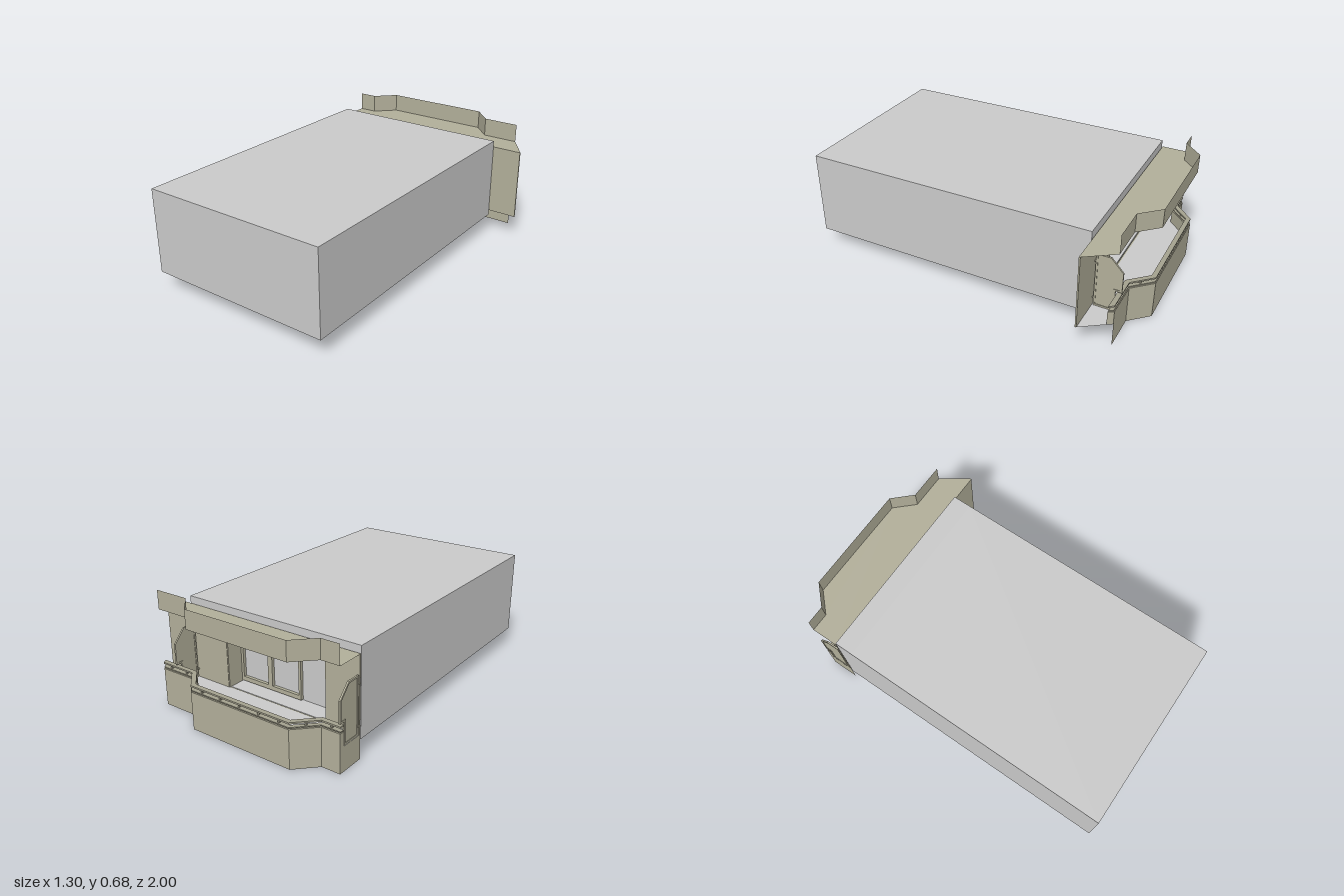
import * as THREE from 'three';

const mat = (name, color) => {
  const m = new THREE.MeshStandardMaterial({ color, side: THREE.DoubleSide });
  m.name = name;
  return m;
};

// plan outline of the balcony edge, as [x, z]
const OUTER = [[-0.65, -0.89], [-0.54, -0.89], [-0.43, -1], [0.22, -1], [0.325, -0.89], [0.54, -0.89]];
const INNER = [[-0.65, -0.86], [-0.528, -0.86], [-0.418, -0.97], [0.208, -0.97], [0.313, -0.86], [0.56, -0.86]];

const toShape = (pts) => new THREE.Shape(pts.map(([x, y]) => new THREE.Vector2(x, y)));
const rect = (x0, y0, x1, y1) => [[x0, y0], [x1, y0], [x1, y1], [x0, y1]];
const between = (t) => OUTER.map(([x, z], i) => [x + (INNER[i][0] - x) * t, z + (INNER[i][1] - z) * t]);

// vertical sheet that follows a plan path
function ribbon(path, y0, y1) {
  const pos = [];
  for (let i = 0; i < path.length - 1; i++) {
    const [ax, az] = path[i], [bx, bz] = path[i + 1];
    pos.push(ax, y0, az, ax, y1, az, bx, y1, bz, ax, y0, az, bx, y1, bz, bx, y0, bz);
  }
  const g = new THREE.BufferGeometry();
  g.setAttribute('position', new THREE.Float32BufferAttribute(pos, 3));
  g.computeVertexNormals();
  return g;
}

// plan polygon: flat sheet, or solid between two heights
function sheet(pts, y) {
  return new THREE.ShapeGeometry(toShape(pts)).rotateX(Math.PI / 2).translate(0, y, 0);
}
function solid(pts, y0, y1) {
  return new THREE.ExtrudeGeometry(toShape(pts), { depth: y1 - y0, bevelEnabled: false })
    .rotateX(Math.PI / 2).translate(0, y1, 0);
}

// upright panel with an optional hole, from z0 to z1
function panel(pts, hole, z0, z1) {
  const s = toShape(pts);
  if (hole) s.holes.push(new THREE.Path(hole.map(([x, y]) => new THREE.Vector2(x, y))));
  return new THREE.ExtrudeGeometry(s, { depth: z1 - z0, bevelEnabled: false }).translate(0, 0, z0);
}

function box(x0, x1, y0, y1, z0, z1) {
  return new THREE.BoxGeometry(x1 - x0, y1 - y0, z1 - z0)
    .translate((x0 + x1) / 2, (y0 + y1) / 2, (z0 + z1) / 2);
}

export function createModel() {
  const root = new THREE.Group();
  root.name = 'apartmentWithBalcony';
  const grey = mat('plainGrey', 0xcacaca);
  const beige = mat('beigeRender', 0xb2af9a);
  const railMat = mat('railBeige', 0xa5a28f);
  const add = (name, geo, material, parent = root) => {
    const m = new THREE.Mesh(geo, material);
    m.name = name;
    parent.add(m);
    return m;
  };

  // room volume with a recess for the window
  const opening = rect(-0.45, 0.14, 0.21, 0.53);
  add('roomBlock', box(-0.65, 0.475, 0.11, 0.61, -0.61, 1), grey);
  add('roomEnd', panel(rect(-0.65, 0.11, 0.475, 0.61), opening, -0.72, -0.61), grey);

  // facade and recess lining
  add('facadeWall', panel(rect(-0.65, 0.14, 0.65, 0.57), opening, -0.733, -0.725), beige);
  add('recessLeft', box(0.205, 0.21, 0.14, 0.53, -0.73, -0.61), beige);
  add('recessRight', box(-0.45, -0.445, 0.14, 0.53, -0.73, -0.61), beige);
  add('recessTop', box(-0.45, 0.21, 0.525, 0.53, -0.73, -0.61), beige);

  // sliding window frame
  const windowFrame = new THREE.Group();
  windowFrame.name = 'windowFrame';
  root.add(windowFrame);
  for (const [x0, x1] of [[-0.21, 0], [0, 0.205]]) {
    add('sash', panel(rect(x0, 0.145, x1, 0.525), rect(x0 + 0.015, 0.17, x1 - 0.015, 0.505), -0.63, -0.612), beige, windowFrame);
  }

  // floor and ceiling sheets
  const plan = [[-0.65, -0.73], ...OUTER, [0.65, -0.73]];
  add('balconyFloor', sheet(plan, 0.14), grey);
  add('balconyCeiling', sheet(plan, 0.57), beige);

  // parapet, side apron and upper fascia
  const ring = (a, b) => [...between(a), ...between(b).reverse()];
  add('apron', ribbon([[-0.65, -0.725], ...OUTER], 0, 0.14), beige);
  add('parapet', solid(ring(0, 1), 0.14, 0.22), beige);
  add('upperFascia', ribbon(OUTER, 0.57, 0.68), beige);

  // handrail on short posts
  const railing = new THREE.Group();
  railing.name = 'railing';
  root.add(railing);
  add('lowerRail', solid(ring(0.1, 0.9), 0.224, 0.23), railMat, railing);
  add('handrail', solid(ring(0.05, 0.95), 0.248, 0.257), railMat, railing);
  const mid = between(0.5);
  for (let i = 0; i < mid.length - 1; i++) {
    const [ax, az] = mid[i], [bx, bz] = mid[i + 1];
    const n = Math.max(1, Math.round(Math.hypot(bx - ax, bz - az) / 0.13));
    for (let k = 0; k < n; k++) {
      const t = (k + 0.5) / n, x = ax + (bx - ax) * t, z = az + (bz - az) * t;
      add('railPost', box(x - 0.005, x + 0.005, 0.22, 0.25, z - 0.005, z + 0.005), railMat, railing);
    }
  }

  // dividing screens with clipped corners, drawn as [-z, y]
  const outline = [[0.74, 0.142], [0.855, 0.142], [0.855, 0.27], [0.89, 0.27], [0.89, 0.39], [0.82, 0.465], [0.74, 0.465]];
  const inset = [[0.75, 0.152], [0.845, 0.152], [0.845, 0.28], [0.88, 0.28], [0.88, 0.386], [0.816, 0.455], [0.75, 0.455]];
  for (const [name, x] of [['rightScreen', -0.645], ['leftScreen', 0.44]]) {
    const screen = new THREE.Group();
    screen.name = name;
    screen.position.x = x;
    root.add(screen);
    add('screenFrame', panel(outline, inset, -0.005, 0.005).rotateY(Math.PI / 2), beige, screen);
    add('screenPanel', panel(outline, null, -0.002, 0.002).rotateY(Math.PI / 2), beige, screen);
    for (const y of [0.19, 0.42]) {
      add('screenBracket', box(-0.009, 0.004, y - 0.004, y + 0.004, -0.745, -0.73), railMat, screen);
    }
  }
  return root;
}
